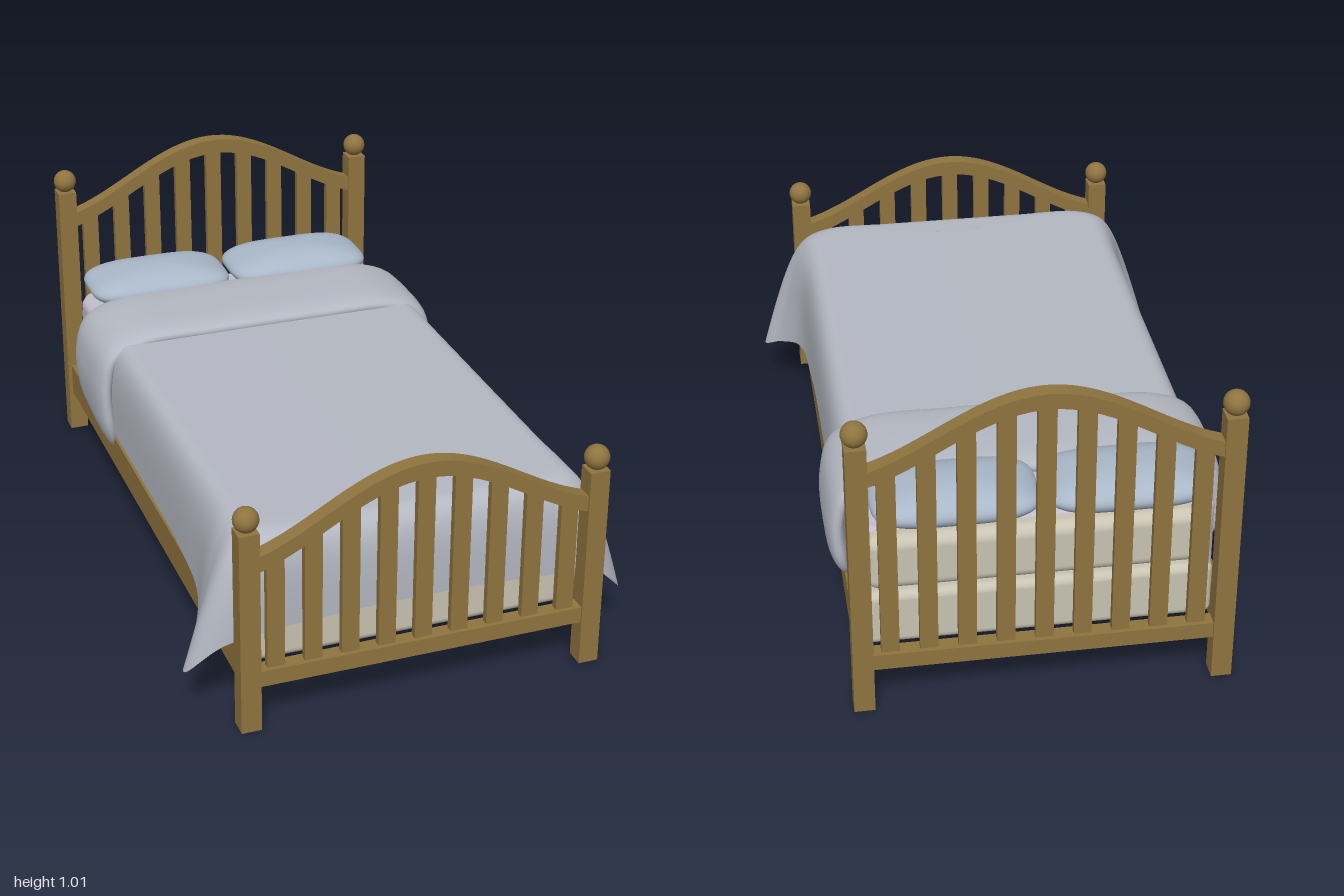
import * as THREE from 'three';
import { mergeVertices } from 'three/addons/utils/BufferGeometryUtils.js';
import { RoundedBoxGeometry } from 'three/addons/geometries/RoundedBoxGeometry.js';

const mat = (color, side = THREE.FrontSide) => new THREE.MeshStandardMaterial({ color, side });
const wood = mat(0x8f743f);
const ticking = mat(0xc8c3b2);
const sheetMat = mat(0xc3bccd);
const cover = mat(0xb4b8c2, THREE.DoubleSide);
const pillowMat = mat(0xa9b7c8);

const V = (x, y, z) => new THREE.Vector3(x, y, z);
const spow = (v, e) => Math.sign(v) * Math.abs(v) ** e;

function add(parent, name, geometry, material, x = 0, y = 0, z = 0) {
  const mesh = new THREE.Mesh(geometry, material);
  mesh.name = name;
  mesh.position.set(x, y, z);
  parent.add(mesh);
  return mesh;
}

const box = (parent, name, w, h, d, x, y, z) =>
  add(parent, name, new THREE.BoxGeometry(w, h, d), wood, x, y, z);

// Smooth surface through rows of points
function loft(rows) {
  const n = rows[0].length, index = [];
  for (let i = 0; i < rows.length - 1; i++) {
    for (let j = 0; j < n - 1; j++) {
      const a = i * n + j, b = a + 1, c = a + n, d = c + 1;
      index.push(a, c, b, b, c, d);
    }
  }
  const geo = new THREE.BufferGeometry().setFromPoints(rows.flat());
  geo.setIndex(index);
  const merged = mergeVertices(geo, 1e-5);
  merged.computeVertexNormals();
  return merged;
}

// Headboard or footboard: posts with balls, arched top rail, slats, bottom rail
function endBoard(name, postHeight, z) {
  const board = new THREE.Group();
  board.name = name;
  board.position.z = z;
  const archTop = (x) => postHeight - 0.093 + 0.109 * (1 + Math.cos(Math.PI * x / 0.6));

  for (const s of [-1, 1]) {
    box(board, 'post', 0.06, postHeight, 0.06, s * 0.52, postHeight / 2, 0);
    add(board, 'postBall', new THREE.SphereGeometry(0.037, 32, 20), wood, s * 0.52, postHeight + 0.035, 0);
  }

  const upper = [], lower = [];
  for (let i = 0; i <= 40; i++) {
    const x = -0.5 + i / 40;
    upper.push(new THREE.Vector2(x, archTop(x)));
    lower.unshift(new THREE.Vector2(x, archTop(x) - 0.048));
  }
  const arch = new THREE.ExtrudeGeometry(new THREE.Shape([...lower, ...upper]),
    { depth: 0.048, bevelEnabled: false });
  add(board, 'archedRail', arch, wood, 0, 0, -0.024);
  box(board, 'bottomRail', 0.98, 0.05, 0.048, 0, 0.165, 0);

  for (let i = -4; i <= 4; i++) {
    const top = archTop(Math.abs(i * 0.11) + 0.026) - 0.025;
    box(board, 'slat', 0.052, top - 0.17, 0.022, i * 0.11, (top + 0.17) / 2, 0);
  }
  return board;
}

// Blanket: shoulder contour around sides and foot, draped down to a flaring hem
function blanketGeometry() {
  const outer = [[0.54, -0.6], [0.54, 0], [0.54, 0.4], [0.54, 0.65], [0.542, 0.8],
    [0.53, 0.9], [0.46, 0.943], [0.25, 0.945], [0, 0.945]].map(([x, z]) => V(x, 0.575, z));
  const hem = [[0.54, 0.27, -0.6], [0.54, 0.27, 0], [0.545, 0.268, 0.4], [0.565, 0.248, 0.65],
    [0.625, 0.19, 0.79], [0.675, 0.15, 0.865], [0.57, 0.255, 0.93], [0.3, 0.293, 0.94],
    [0, 0.3, 0.94]].map((p) => V(...p));
  const mirrored = (pts) => new THREE.CatmullRomCurve3(
    [...pts, ...pts.slice(0, -1).reverse().map((p) => V(-p.x, p.y, p.z))]);
  const outerCurve = mirrored(outer), hemCurve = mirrored(hem);
  const rows = [];
  for (let i = 0; i <= 160; i++) {
    const o = outerCurve.getPoint(i / 160), h = hemCurve.getPoint(i / 160);
    const inset = THREE.MathUtils.smoothstep(o.z, 0.5, 0.92);
    const inner = V(o.x * 0.86, 0.575, o.z - 0.09 * inset);
    const waist = o.clone().lerp(h, 0.35).setY(0.47);
    const drape = new THREE.CubicBezierCurve3(inner, o, waist, h);
    const spine = V(0, 0.577, inner.z < 0 ? inner.z : inner.z * 0.9);
    const row = [];
    for (let k = 0; k < 6; k++) row.push(spine.clone().lerp(inner, k / 6));
    rows.push([...row, ...drape.getPoints(24)]);
  }
  return loft(rows);
}

// Puffy folded-back band that arches over the bed
function foldGeometry() {
  const half = [[0.53, 0.215], [0.552, 0.32], [0.555, 0.44], [0.525, 0.53], [0.42, 0.574], [0.2, 0.58]];
  const path = new THREE.CatmullRomCurve3([
    ...half.map(([x, y]) => V(x, y, 0)), V(0, 0.581, 0),
    ...half.slice().reverse().map(([x, y]) => V(-x, y, 0))]);
  const rows = [];
  for (let i = 0; i <= 120; i++) {
    const t = (1 - Math.cos(Math.PI * i / 120)) / 2;
    const p = path.getPointAt(t), d = path.getTangentAt(t);
    const e = Math.min(1, Math.min(t, 1 - t) / 0.07);
    const round = Math.sqrt(Math.max(0, 1 - (1 - e) ** 2));
    const thick = 0.031 * round, width = 0.176 * (0.6 + 0.4 * round);
    const hang = Math.max(0, (0.5 - p.y) / 0.3);
    const row = [];
    for (let k = 0; k <= 40; k++) {
      const a = k / 40 * Math.PI * 2, c = spow(Math.cos(a), 0.6), n = thick * spow(Math.sin(a), 0.8);
      row.push(V(p.x + d.y * n, p.y - d.x * n - 0.025 * c * hang, -0.53 + width * c));
    }
    rows.push(row);
  }
  return loft(rows);
}

// Pillow: sphere pushed towards a rounded rectangle in plan
function pillowGeometry() {
  let geo = new THREE.SphereGeometry(1, 64, 32);
  geo.deleteAttribute('uv');
  geo.deleteAttribute('normal');
  geo = mergeVertices(geo, 1e-4);
  const pos = geo.attributes.position;
  for (let i = 0; i < pos.count; i++) {
    const x = pos.getX(i), y = pos.getY(i), z = pos.getZ(i);
    const r = Math.hypot(x, z), a = Math.atan2(z, x);
    pos.setXYZ(i, 0.24 * r * spow(Math.cos(a), 0.5), 0.061 * y, 0.14 * r * spow(Math.sin(a), 0.5));
  }
  geo.computeVertexNormals();
  return geo;
}

export function createModel() {
  const bed = new THREE.Group();
  bed.name = 'bed';

  // Wooden frame
  bed.add(endBoard('headboard', 0.885, -0.967));
  bed.add(endBoard('footboard', 0.635, 0.97));
  for (const s of [-1, 1]) box(bed, 'sideRail', 0.034, 0.105, 1.9, s * 0.52, 0.1925, 0);

  // Box spring, mattress and fitted sheet
  const layer = (name, w, y0, y1, z0, z1, r, m) => add(bed, name,
    new RoundedBoxGeometry(w, y1 - y0, z1 - z0, 5, r), m, 0, (y0 + y1) / 2, (z0 + z1) / 2);
  layer('boxSpring', 1.0, 0.17, 0.345, -0.92, 0.92, 0.025, ticking);
  layer('mattress', 0.99, 0.355, 0.53, -0.92, 0.91, 0.035, ticking);
  layer('fittedSheet', 1.02, 0.235, 0.537, -0.875, 0.85, 0.03, sheetMat);

  // Bedding
  add(bed, 'blanket', blanketGeometry(), cover);
  add(bed, 'foldedCover', foldGeometry(), cover);
  const pillow = pillowGeometry();
  add(bed, 'leftPillow', pillow, pillowMat, 0.235, 0.594, -0.803);
  add(bed, 'rightPillow', pillow, pillowMat, -0.257, 0.594, -0.803);
  return bed;
}
